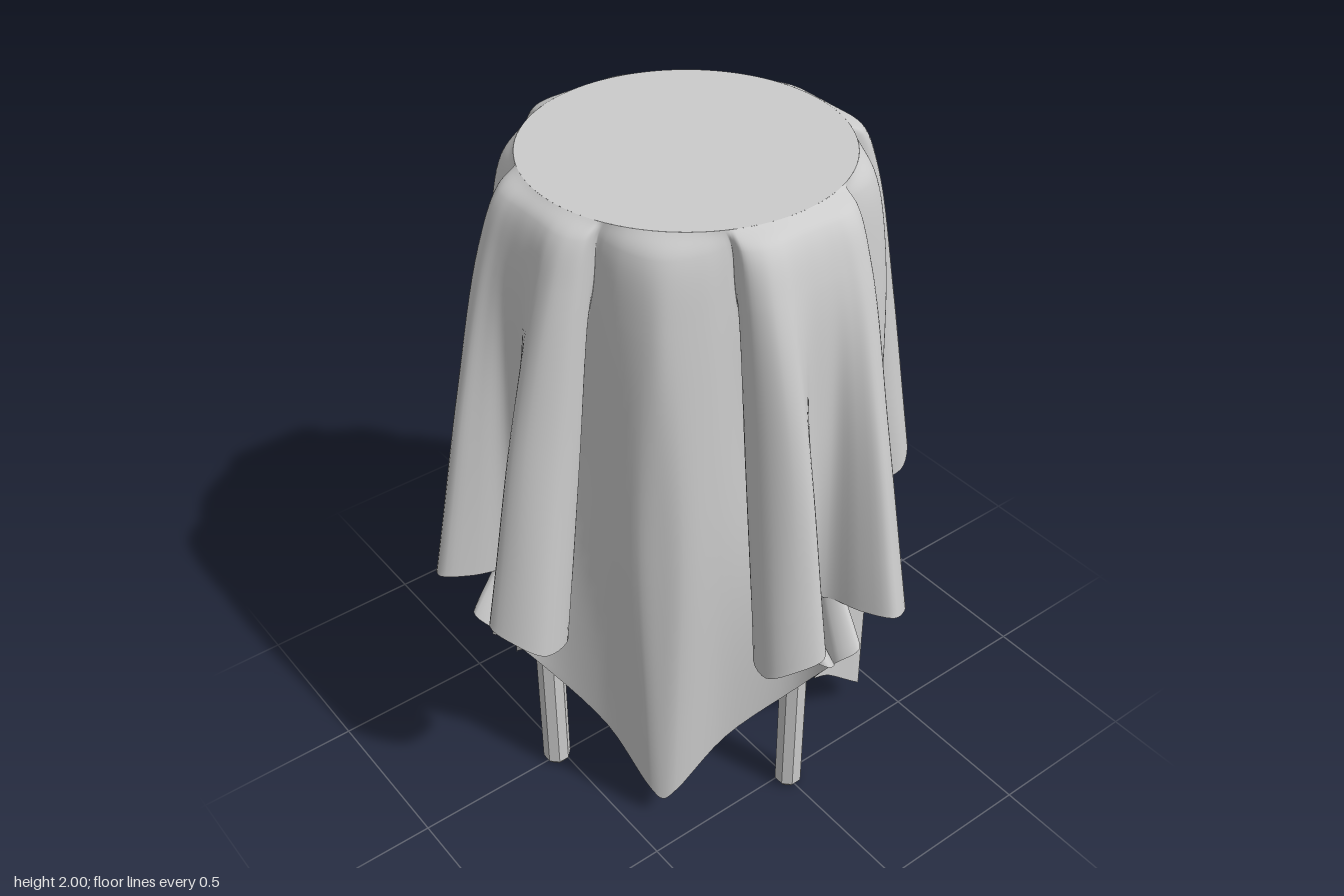
import * as THREE from 'three';

const RADIUS = 0.45, TOP = 2;

// One eighth of the cloth, from the middle of a fold to the corner panel.
// Each point is [sideways, outward]; the rim is given by angles in degrees.
const RIM = [0, 4, 8, 13, 18, 23, 24.5, 25.5, 26, 27, 29, 34, 40, 45];
const SHOULDER = [
  [0, .545], [.04, .546], [.08, .552], [.12, .56], [.165, .55], [.197, .505], [.19, .455],
  [.18, .437], [.177, .432], [.18, .431], [.20, .432], [.265, .428], [.345, .405], [.382, .382]];
const MIDDLE = [
  [0, .57], [.045, .58], [.08, .625], [.12, .665], [.17, .65], [.212, .58], [.195, .50],
  [.14, .485], [.09, .485], [.075, .47], [.12, .455], [.24, .455], [.35, .44], [.40, .40]];
const HEM = [
  [0, .575], [.04, .605], [.075, .70], [.13, .78], [.205, .75], [.25, .68], [.21, .58],
  [.13, .59], [.06, .725], [.003, .69], [.04, .57], [.21, .46], [.37, .425], [.403, .403]];
const HEM_Y = [.81, .81, .81, .81, .78, .73, .71, .70, .69, .64, .46, .275, .115, .08];

const blend = (from, to, amount) => from.map(([u, w], i) => {
  const k = amount(i);
  return [u + (to[i][0] - u) * k, w + (to[i][1] - w) * k];
});

// Mirrors an eighth across the diagonal and turns it four times into a closed ring
function ring(points, drop) {
  const eighth = points.map(([u, w], i) => new THREE.Vector3(u, TOP + (HEM_Y[i] - TOP) * drop, w));
  const mirrored = eighth.slice(1, -1).reverse().map((p) => new THREE.Vector3(p.z, p.y, p.x));
  const quarter = [...eighth, ...mirrored];
  const all = [];
  for (let q = 0; q < 4; q++) {
    for (const p of quarter) all.push(p.clone().applyAxisAngle(new THREE.Vector3(0, 1, 0), q * Math.PI / 2));
  }
  // The front and back folds hang slightly to one side
  for (const p of all) p.x -= .025 * drop * Math.max(0, Math.abs(p.z) - Math.abs(p.x));
  return new THREE.CatmullRomCurve3(all, true);
}

// Hanging cloth: a surface lofted through the rings from rim to hem
function drapeGeometry() {
  const rim = RIM.map((deg) => {
    const a = THREE.MathUtils.degToRad(deg);
    return [RADIUS * Math.sin(a), RADIUS * Math.cos(a)];
  });
  const lip = blend(rim, SHOULDER, () => .5);
  // The inner tucks flare out only just above the hem
  const low = blend(MIDDLE, HEM, (i) => (i >= 7 && i <= 9 ? .45 : .7));
  const rings = [ring(rim, 0), ring(lip, .03), ring(SHOULDER, .15), ring(MIDDLE, .5), ring(low, .85), ring(HEM, 1)];
  const columns = (RIM.length - 1) * 8 * 5, rows = 40;
  const positions = [], index = [];
  for (let j = 0; j < columns; j++) {
    const column = new THREE.CatmullRomCurve3(rings.map((r) => r.getPoint(j / columns)));
    for (let i = 0; i <= rows; i++) positions.push(...column.getPoint(i / rows).toArray());
  }
  for (let j = 0; j < columns; j++) {
    for (let i = 0; i < rows; i++) {
      const a = j * (rows + 1) + i, b = ((j + 1) % columns) * (rows + 1) + i;
      index.push(a, a + 1, b, b, a + 1, b + 1);
    }
  }
  const geometry = new THREE.BufferGeometry();
  geometry.setAttribute('position', new THREE.Float32BufferAttribute(positions, 3));
  geometry.setIndex(index);
  geometry.computeVertexNormals();
  return geometry;
}

// Upright eight-sided leg with a small bevel at the foot
function legGeometry() {
  const profile = [[0, 0], [.034, 0], [.043, .014], [.043, 1.5], [0, 1.5]];
  const geometry = new THREE.LatheGeometry(profile.map(([r, y]) => new THREE.Vector2(r, y)), 8, Math.PI / 8);
  return geometry.translate(0, 0, .522);
}

export function createModel() {
  const group = new THREE.Group();
  const cloth = new THREE.MeshStandardMaterial({ color: 0xcccccc, side: THREE.DoubleSide });
  const wood = new THREE.MeshStandardMaterial({ color: 0xcccccc, flatShading: true });
  const add = (name, geometry, material) => {
    const mesh = new THREE.Mesh(geometry, material);
    mesh.name = name;
    group.add(mesh);
    return mesh;
  };

  // Cloth: flat top and hanging folds
  const top = new THREE.CircleGeometry(RADIUS, 96);
  top.rotateX(-Math.PI / 2);
  top.translate(0, TOP, 0);
  add('clothTop', top, cloth);
  add('clothDrape', drapeGeometry(), cloth);

  // Table hidden beneath the cloth
  const board = new THREE.CylinderGeometry(.43, .43, .06, 48);
  add('tableTop', board, wood).position.y = 1.96;
  const leg = legGeometry();
  for (let i = 0; i < 4; i++) add('leg', leg, wood).rotation.y = i * Math.PI / 2;

  return group;
}
